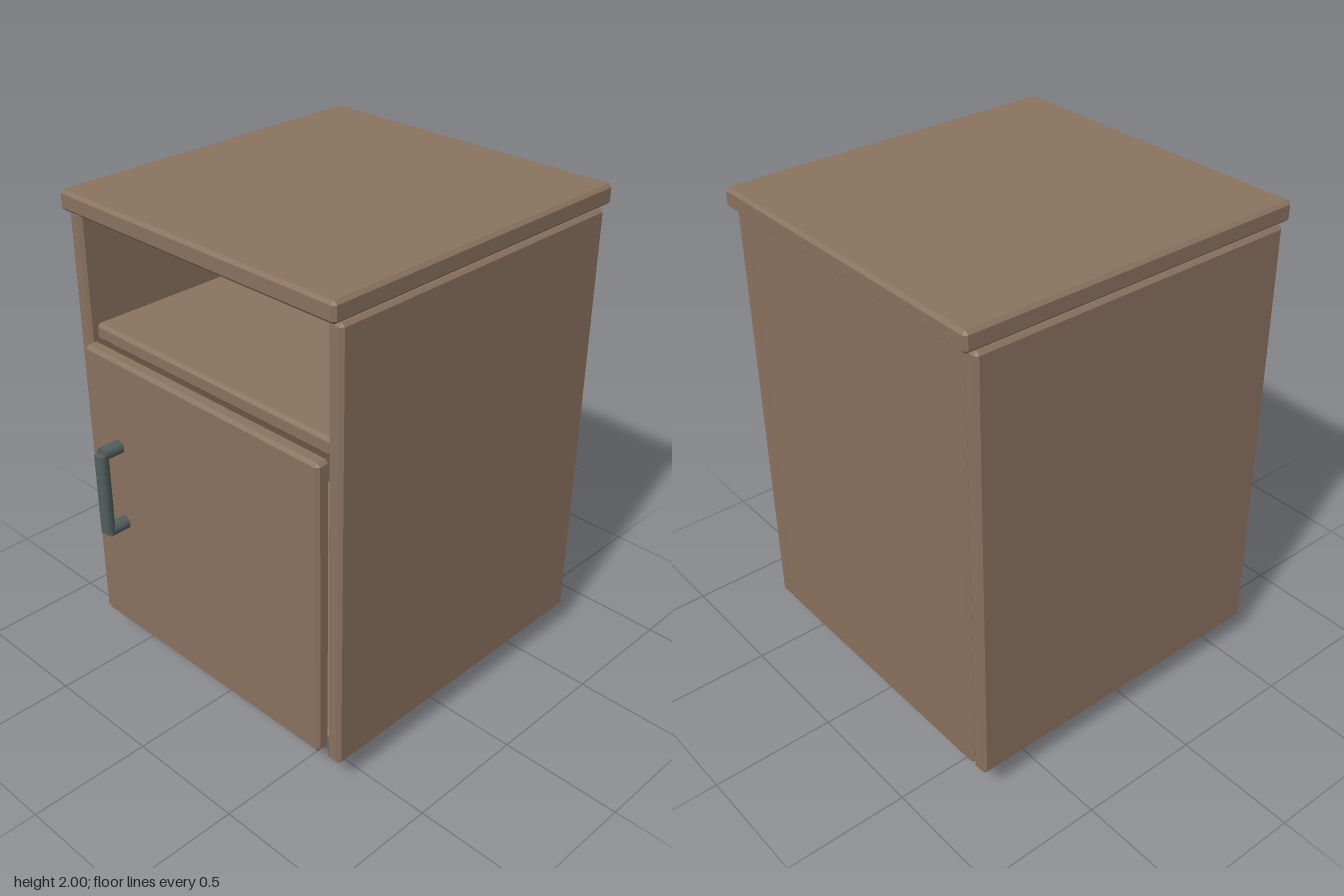
import * as THREE from 'three';
import { ConvexGeometry } from 'three/addons/geometries/ConvexGeometry.js';

const wood = new THREE.MeshStandardMaterial({ color: 0x8a725f });
const dark = new THREE.MeshStandardMaterial({ color: 0x535f5d });

// Box between two corners with all edges chamfered by c
function board(name, [x0, y0, z0], [x1, y1, z1], material = wood, c = 0.013) {
  const half = new THREE.Vector3(x1 - x0, y1 - y0, z1 - z0).multiplyScalar(0.5);
  const points = [];
  for (const sx of [-1, 1]) for (const sy of [-1, 1]) for (const sz of [-1, 1]) {
    for (const axis of ['x', 'y', 'z']) {
      const p = half.clone().subScalar(c);
      p[axis] = half[axis];
      points.push(p.multiply(new THREE.Vector3(sx, sy, sz)));
    }
  }
  const mesh = new THREE.Mesh(new ConvexGeometry(points), material);
  mesh.name = name;
  mesh.position.set((x0 + x1) / 2, (y0 + y1) / 2, (z0 + z1) / 2);
  return mesh;
}

function createHandle() {
  const handle = new THREE.Group();
  handle.name = 'handle';
  const rod = (name, length) => {
    const mesh = new THREE.Mesh(new THREE.CylinderGeometry(0.027, 0.027, length, 20), dark);
    mesh.name = name;
    handle.add(mesh);
    return mesh;
  };
  rod('handleGrip', 0.346).position.set(-0.42, 0.873, 0.773);
  for (const [name, y] of [['handleLowerPost', 0.7], ['handleUpperPost', 1.046]]) {
    const post = rod(name, 0.088);
    post.rotation.x = Math.PI / 2;
    post.position.set(-0.42, y, 0.729);
  }
  return handle;
}

export function createModel() {
  const cabinet = new THREE.Group();
  cabinet.name = 'bedsideCabinet';
  cabinet.add(
    // Carcass
    board('top', [-0.695, 1.92, -0.8], [0.695, 2, 0.66]),
    board('rightSide', [-0.695, 0.11, -0.76], [-0.63, 1.915, 0.625]),
    board('leftSide', [0.63, 0.11, -0.76], [0.695, 1.915, 0.625]),
    board('backPanel', [-0.625, 0.11, -0.76], [0.625, 1.915, -0.7]),
    board('shelf', [-0.625, 1.4, -0.695], [0.625, 1.47, 0.6]),
    board('bottomPanel', [-0.625, 0.14, -0.695], [0.625, 0.2, 0.595]),
    // Door and recessed plinth
    board('door', [-0.625, 0.152, 0.6], [0.625, 1.4, 0.663]),
    board('plinth', [-0.59, 0, -0.675], [0.59, 0.14, 0.435], dark, 0.01),
    createHandle(),
  );
  return cabinet;
}
